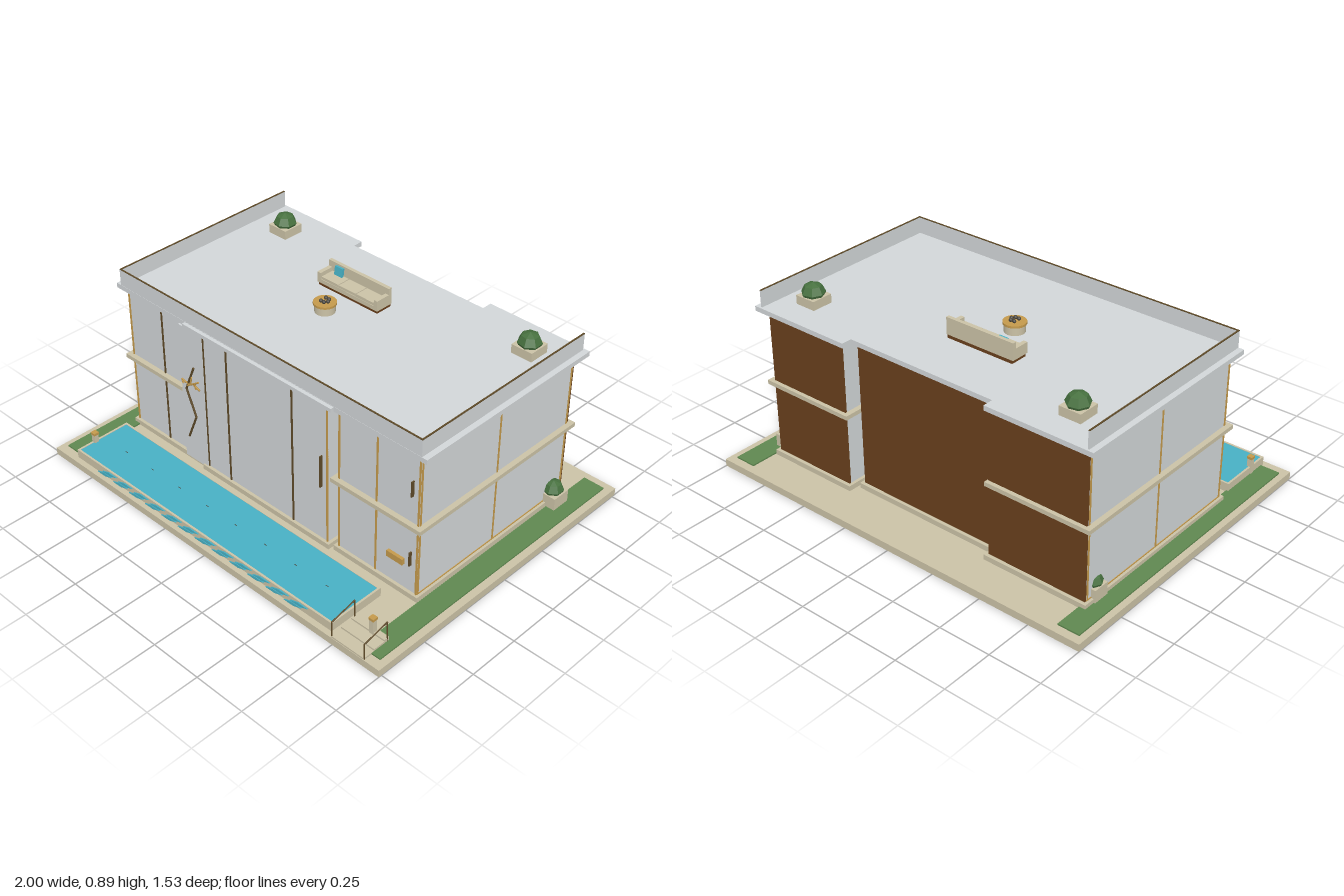
import * as THREE from 'three';

const mat = (name, color) => {
  const m = new THREE.MeshStandardMaterial({ color });
  m.name = name;
  return m;
};

export function createModel() {
  const root = new THREE.Group();
  root.name = 'house';
  const grey = mat('pale grey', 0xd2d6d8);
  const stone = mat('beige stone', 0xcbc2a6);
  const wood = mat('brown wood', 0x69401c);
  const gold = mat('gold metal', 0xc49a4c);
  const bronze = mat('dark bronze', 0x5e4a28);
  const grass = mat('lawn green', 0x5f8850);
  const leaf = mat('leaf green', 0x47713f);
  const water = mat('pool water', 0x48b0c4);
  const dark = mat('dark stone', 0x4a463e);
  leaf.flatShading = true;

  const add = (name, geometry, material, parent = root) => {
    const mesh = new THREE.Mesh(geometry, material);
    mesh.name = name;
    parent.add(mesh);
    return mesh;
  };
  // Box given by its lower and upper limits on each axis
  const box = (name, m, x0, x1, y0, y1, z0, z1, parent = root) => {
    const mesh = add(name, new THREE.BoxGeometry(x1 - x0, y1 - y0, z1 - z0), m, parent);
    mesh.position.set((x0 + x1) / 2, (y0 + y1) / 2, (z0 + z1) / 2);
    return mesh;
  };
  // Straight round bar between two points
  const bar = (name, m, a, b, r, parent = root) => {
    const p = new THREE.Vector3(...a), q = new THREE.Vector3(...b);
    const mesh = add(name, new THREE.CylinderGeometry(r, r, p.distanceTo(q), 8), m, parent);
    mesh.position.copy(p).add(q).multiplyScalar(0.5);
    mesh.quaternion.setFromUnitVectors(new THREE.Vector3(0, 1, 0), q.sub(p).normalize());
  };

  // Plot and lawns
  box('plot', stone, -1, 1, 0, 0.035, -0.77, 0.765);
  box('lawn', grass, -0.97, -0.865, 0.035, 0.042, -0.73, 0.72);
  box('lawn', grass, 0.86, 0.965, 0.035, 0.042, -0.73, 0.72);

  // Three blocks, the right-hand one set off by an open slot
  const blocks = [
    { x0: -0.88, x1: -0.39, z0: -0.57, z1: 0.37 },
    { x0: -0.39, x1: 0.36, z0: -0.52, z1: 0.385 },
    { x0: 0.405, x1: 0.84, z0: -0.57, z1: 0.37 },
  ];
  for (const { x0, x1, z0, z1 } of blocks) {
    box('floorSlab', stone, x0 - 0.015, x1 + 0.015, 0.035, 0.06, z0 - 0.025, z1 + 0.015);
    box('glassBlock', grey, x0, x1, 0.06, 0.765, z0, z1);
    box('backPanel', wood, x0, x1, 0.06, 0.765, z0 - 0.009, z0);
  }
  box('entranceWall', grey, -0.525, -0.38, 0.05, 0.75, 0.36, 0.392);

  // Storey bands around the side blocks
  box('storeyBand', stone, -0.905, -0.525, 0.4, 0.42, 0.36, 0.395);
  box('storeyBand', stone, -0.905, -0.385, 0.4, 0.42, -0.598, 0.36);
  box('storeyBand', stone, 0.38, 0.865, 0.4, 0.42, -0.598, 0.395);

  // Mullions on the front and the two ends
  for (const [x, z, m] of [[-0.876, 0.371, gold], [-0.66, 0.371, bronze], [-0.378, 0.386, bronze],
    [-0.235, 0.386, bronze], [0.155, 0.386, bronze], [0.356, 0.386, gold], [0.409, 0.371, gold],
    [0.615, 0.371, gold], [0.836, 0.371, gold]])
    box('mullion', m, x - 0.004, x + 0.004, 0.06, 0.765, z - 0.003, z + 0.003);
  for (const x of [-0.88, 0.84]) {
    for (const z of [-0.565, -0.105, 0.364])
      box('endMullion', gold, x - 0.003, x + 0.003, 0.06, 0.765, z - 0.004, z + 0.004);
    box('endSill', gold, x - 0.003, x + 0.003, 0.06, 0.065, -0.57, 0.37);
  }

  // Door fittings
  box('doorHandle', bronze, 0.323, 0.328, 0.34, 0.5, 0.386, 0.4);
  box('lowerHandle', bronze, 0.802, 0.808, 0.2, 0.27, 0.371, 0.385);
  box('upperHandle', bronze, 0.802, 0.808, 0.555, 0.63, 0.371, 0.385);
  box('letterbox', gold, 0.685, 0.77, 0.183, 0.213, 0.37, 0.385);

  // Branch sculpture with twigs on the entrance wall
  const branch = [[-0.485, 0.18], [-0.43, 0.31], [-0.485, 0.44], [-0.43, 0.57]];
  for (let i = 0; i < 3; i++)
    bar('branch', bronze, [...branch[i], 0.402], [...branch[i + 1], 0.402], 0.005);
  const twigs = [[-0.475, 0.46, -0.4, 0.51], [-0.51, 0.48, -0.46, 0.47], [-0.44, 0.485, -0.395, 0.47],
    [-0.51, 0.48, -0.5, 0.46], [-0.455, 0.475, -0.445, 0.515], [-0.425, 0.495, -0.42, 0.465]];
  for (const [xa, ya, xb, yb] of twigs)
    bar('twig', gold, [xa, ya, 0.404], [xb, yb, 0.404], 0.004);

  // Roof slab stepped in at the back, with a canopy over the middle
  const outline = [[-0.925, -0.395], [0.885, -0.395], [0.885, 0.615], [0.36, 0.615],
    [0.36, 0.565], [-0.4, 0.565], [-0.4, 0.615], [-0.925, 0.615]];
  const roofShape = new THREE.Shape(outline.map(([x, y]) => new THREE.Vector2(x, y)));
  const roof = add('roofSlab', new THREE.ExtrudeGeometry(roofShape, { depth: 0.023, bevelEnabled: false }), grey);
  roof.rotation.x = -Math.PI / 2;
  roof.position.y = 0.762;
  box('canopy', grey, -0.475, 0.4, 0.765, 0.783, 0.36, 0.412);

  // Thin parapet on the front and ends, open at the back, with a bronze rim
  const parapet = (x0, x1, z0, z1) => {
    box('parapet', grey, x0, x1, 0.785, 0.863, z0, z1);
    box('parapetRim', bronze, x0, x1, 0.863, 0.866, z0, z1);
  };
  parapet(-0.898, 0.858, 0.387, 0.394);
  parapet(-0.898, -0.891, -0.605, 0.387);
  parapet(0.851, 0.858, -0.605, 0.387);

  // Planters with faceted bushes
  const planter = (x, y, z, w, h) => {
    const g = new THREE.Group();
    g.name = 'planter';
    g.position.set(x, y, z);
    root.add(g);
    box('planterBox', stone, -w / 2, w / 2, 0, h, -w / 2, w / 2, g);
    const bush = add('bush', new THREE.SphereGeometry(w * 0.52, 7, 4), leaf, g);
    bush.scale.y = 0.85;
    bush.position.y = h + 0.012;
  };
  planter(-0.715, 0.785, -0.435, 0.105, 0.042);
  planter(0.71, 0.785, -0.435, 0.105, 0.042);
  planter(0.855, 0.042, -0.5, 0.095, 0.06);
  planter(-0.862, 0.042, -0.5, 0.08, 0.06);

  // Roof sofa
  const sofa = new THREE.Group();
  sofa.name = 'sofa';
  root.add(sofa);
  box('sofaBase', wood, -0.28, 0.065, 0.785, 0.8, -0.3, -0.215, sofa);
  box('sofaBody', stone, -0.285, 0.07, 0.8, 0.82, -0.3, -0.21, sofa);
  box('sofaBack', stone, -0.285, 0.07, 0.82, 0.88, -0.3, -0.283, sofa);
  for (const x of [-0.285, 0.05])
    box('sofaArm', stone, x, x + 0.02, 0.82, 0.85, -0.283, -0.21, sofa);
  for (let i = 0; i < 3; i++) {
    const x = -0.262 + i * 0.104;
    box('seatCushion', stone, x, x + 0.1, 0.82, 0.833, -0.281, -0.212, sofa);
  }
  const pillow = box('pillow', water, -0.235, -0.19, 0.833, 0.874, -0.278, -0.265, sofa);
  pillow.rotation.x = -0.15;

  // Round roof table with a ring of stones
  const drum = add('tableDrum', new THREE.CylinderGeometry(0.046, 0.046, 0.038, 24), stone);
  drum.position.set(-0.11, 0.804, -0.078);
  const top = add('tableTop', new THREE.CylinderGeometry(0.052, 0.052, 0.01, 24), gold);
  top.position.set(-0.11, 0.828, -0.078);
  for (let i = 0; i < 5; i++) {
    const a = i * 1.05 - 2.1;
    const pebble = add('tableStone', new THREE.SphereGeometry(0.009, 8, 6), dark);
    pebble.position.set(-0.11 + Math.cos(a) * 0.018, 0.84, -0.078 + Math.sin(a) * 0.018);
  }

  // Raised pool with a stone rim
  box('poolBase', stone, -0.875, 0.722, 0.035, 0.07, 0.453, 0.738);
  for (const z of [0.453, 0.728]) box('poolRim', stone, -0.875, 0.722, 0.07, 0.077, z, z + 0.01);
  for (const x of [-0.875, 0.712]) box('poolRim', stone, x, x + 0.01, 0.07, 0.077, 0.463, 0.728);
  box('water', water, -0.865, 0.712, 0.07, 0.075, 0.463, 0.728);
  for (let i = 0; i < 8; i++)
    box('ripple', dark, -0.71 + i * 0.18, -0.695 + i * 0.18, 0.075, 0.076, 0.593, 0.596);

  // Slanted blue slats along the pool front, in two tiers
  for (let i = 0; i < 12; i++) {
    for (let tier = 0; tier < 2; tier++) {
      const x = -0.73 + i * 0.108 + tier * 0.035, y = 0.037 + tier * 0.019;
      const slat = new THREE.Shape([[0, 0], [0.055, 0], [0.1, 0.015], [0.045, 0.015]]
        .map(([px, py]) => new THREE.Vector2(px, py)));
      add('poolSlat', new THREE.ExtrudeGeometry(slat, { depth: 0.006, bevelEnabled: false }), water)
        .position.set(x, y, 0.738);
    }
  }

  // Posts with gold caps beside the pool
  for (const [x, y] of [[-0.867, 0.115], [0.852, 0.12]]) {
    box('post', stone, x - 0.011, x + 0.011, 0.035, y, 0.629, 0.651);
    box('postCap', gold, x - 0.013, x + 0.013, y, y + 0.012, 0.627, 0.653);
  }

  // Pool steps and handrails
  for (let i = 0; i < 3; i++)
    box('step', stone, 0.742, 0.92, 0.035, 0.043 + i * 0.008, 0.62, 0.763 - i * 0.058);
  for (const x of [0.744, 0.918]) {
    bar('railPost', bronze, [x, 0.035, 0.76], [x, 0.115, 0.76], 0.003);
    bar('railPost', bronze, [x, 0.035, 0.63], [x, 0.143, 0.63], 0.003);
    bar('handrail', bronze, [x, 0.115, 0.76], [x, 0.143, 0.63], 0.003);
  }
  return root;
}
